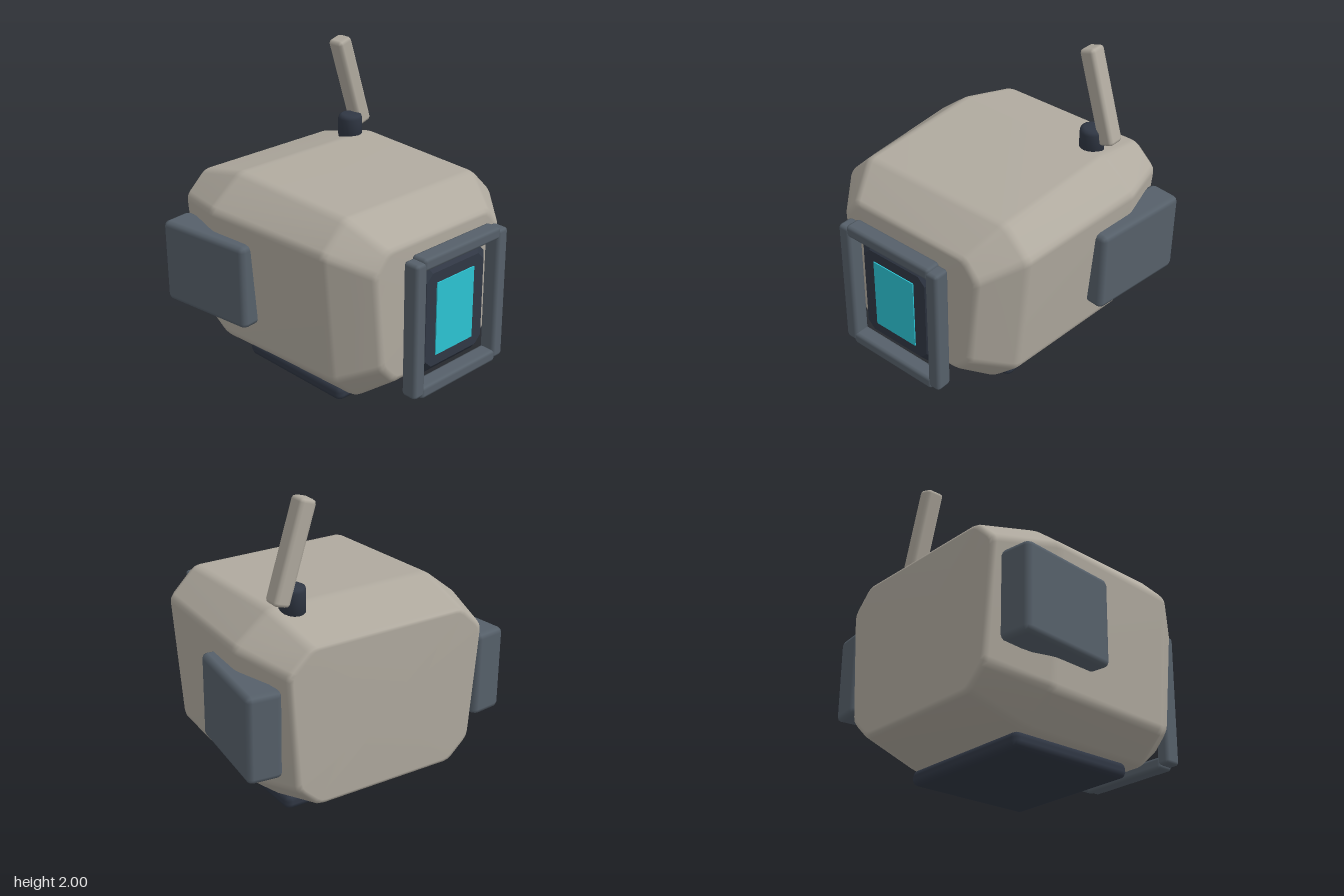
import * as THREE from 'three';
import { mergeVertices } from 'three/addons/utils/BufferGeometryUtils.js';
import { RoundedBoxGeometry } from 'three/addons/geometries/RoundedBoxGeometry.js';

const material = (name, color) => {
  const m = new THREE.MeshStandardMaterial({ color });
  m.name = name;
  return m;
};

// Replace each corner of a polyline by a short curve of three points
function roundCorners(points, radius, closed) {
  const out = [], n = points.length;
  points.forEach((p, i) => {
    if (!closed && (i === 0 || i === n - 1)) { out.push(p.clone()); return; }
    const toward = (q) => {
      const d = q.clone().sub(p);
      return p.clone().addScaledVector(d, Math.min(radius / Math.max(d.length(), 1e-6), 0.4));
    };
    const a = toward(points[(i + n - 1) % n]), b = toward(points[(i + 1) % n]);
    const mid = a.clone().add(b).multiplyScalar(0.25).addScaledVector(p, 0.5);
    out.push(a, mid, b);
  });
  return out;
}

// Eight-sided section, mirrored left to right
function section({ z, top, topW, upY, upW, lowY, lowW, bottom, bottomW }) {
  const half = [[bottomW, bottom], [lowW, lowY], [upW, upY], [topW, top]];
  const loop = [...half, ...half.slice().reverse().map(([x, y]) => [-x, y])];
  return roundCorners(loop.map(([x, y]) => new THREE.Vector3(x, y, z)), 0.035, true);
}

// Body lofted from front to back, closed by flat caps
function bodyGeometry() {
  const sections = [
    { z: 0.69, top: 1.14, topW: 0.44, upY: 1.02, upW: 0.54, lowY: 0.39, lowW: 0.48, bottom: 0.27, bottomW: 0.37 },
    { z: 0.45, top: 1.31, topW: 0.55, upY: 1.13, upW: 0.73, lowY: 0.28, lowW: 0.66, bottom: 0.1, bottomW: 0.47 },
    { z: -0.48, top: 1.34, topW: 0.56, upY: 1.15, upW: 0.8, lowY: 0.28, lowW: 0.725, bottom: 0.1, bottomW: 0.5 },
    { z: -0.89, top: 1.24, topW: 0.53, upY: 1.1, upW: 0.68, lowY: 0.36, lowW: 0.62, bottom: 0.23, bottomW: 0.48 },
  ].map(section);
  const count = sections[0].length;
  const columns = [];
  for (let i = 0; i < count; i++) {
    columns.push(roundCorners([
      new THREE.Vector3(0, 0.7, 0.69),
      ...sections.map((s) => s[i]),
      new THREE.Vector3(0, 0.73, -0.89),
    ], 0.03, false));
  }
  const rows = columns[0].length;
  const positions = columns.flatMap((c) => c.flatMap((p) => p.toArray()));
  const index = [];
  for (let i = 0; i < count; i++) {
    for (let j = 0; j < rows - 1; j++) {
      const a = i * rows + j, b = ((i + 1) % count) * rows + j;
      if (j < rows - 2) index.push(a, a + 1, b + 1);
      if (j > 0) index.push(a, b + 1, b);
      if (j === rows - 2) continue;
    }
  }
  const g = new THREE.BufferGeometry();
  g.setAttribute('position', new THREE.Float32BufferAttribute(positions, 3));
  g.setIndex(index);
  const merged = mergeVertices(g, 1e-5);
  merged.computeVertexNormals();
  return merged;
}

export function createModel() {
  const group = new THREE.Group();
  const shell = material('warm grey shell', 0xb0aa9f);
  const grey = material('slate grey', 0x56606a);
  const dark = material('dark navy', 0x303744);
  const cyan = material('cyan screen', 0x2cc4d4);

  const add = (name, geometry, mat, x = 0, y = 0, z = 0) => {
    const mesh = new THREE.Mesh(geometry, mat);
    mesh.name = name;
    mesh.position.set(x, y, z);
    group.add(mesh);
    return mesh;
  };
  const box = (w, h, d, r, steps = 1) => new RoundedBoxGeometry(w, h, d, steps, r);

  add('body', bodyGeometry(), shell);
  add('basePad', box(0.97, 0.1, 0.87, 0.04), dark, 0, 0.05, -0.11);

  // Tilted side pods
  for (const side of [1, -1]) {
    const pod = add(side > 0 ? 'leftPod' : 'rightPod', box(0.22, 0.55, 0.69, 0.035), grey, side * 0.765, 0.735, -0.5);
    pod.rotation.y = -side * 0.115;
  }

  // Front panel, bevelled all round
  const w = 0.25, h = 0.31, c = 0.05;
  const outline = new THREE.Shape([
    [-w, -h - c + 0.05], [-w + 0.05, -h - 0.0], [w - 0.05, -h], [w, -h + 0.05],
    [w, h - 0.05], [w - 0.05, h], [-w + 0.05, h], [-w, h - 0.05],
  ].slice(1).concat([[-w, -h + 0.05]]).map(([x, y]) => new THREE.Vector2(x, y)));
  const panel = new THREE.ExtrudeGeometry(outline, {
    depth: 0.01, bevelEnabled: true, bevelThickness: 0.05, bevelSize: 0.055, bevelSegments: 1,
  });
  add('displayPanel', panel, dark, 0, 0.665, 0.76);
  add('screen', new THREE.BoxGeometry(0.325, 0.48, 0.008), cyan, -0.003, 0.665, 0.823);

  // Frame around the panel
  for (const side of [1, -1]) {
    add(side > 0 ? 'frameLeft' : 'frameRight', box(0.09, 0.88, 0.11, 0.022), grey, side * 0.355, 0.665, 0.825);
    add(side > 0 ? 'frameTop' : 'frameBottom', box(0.67, 0.08, 0.11, 0.022), grey, 0, 0.665 + side * 0.42, 0.825);
  }

  // Antenna post and leaning arm
  const postProfile = [[0, 1.28], [0.08, 1.28], [0.08, 1.445], [0.074, 1.465], [0.055, 1.475], [0, 1.475]]
    .map(([x, y]) => new THREE.Vector2(x, y));
  add('antennaPost', new THREE.LatheGeometry(postProfile, 16), dark, 0.43, 0, -0.525);
  const arm = add('antennaArm', box(0.11, 0.635, 0.12, 0.025), shell, 0.458, 1.69, -0.555);
  arm.rotation.z = 0.297;

  return group;
}
